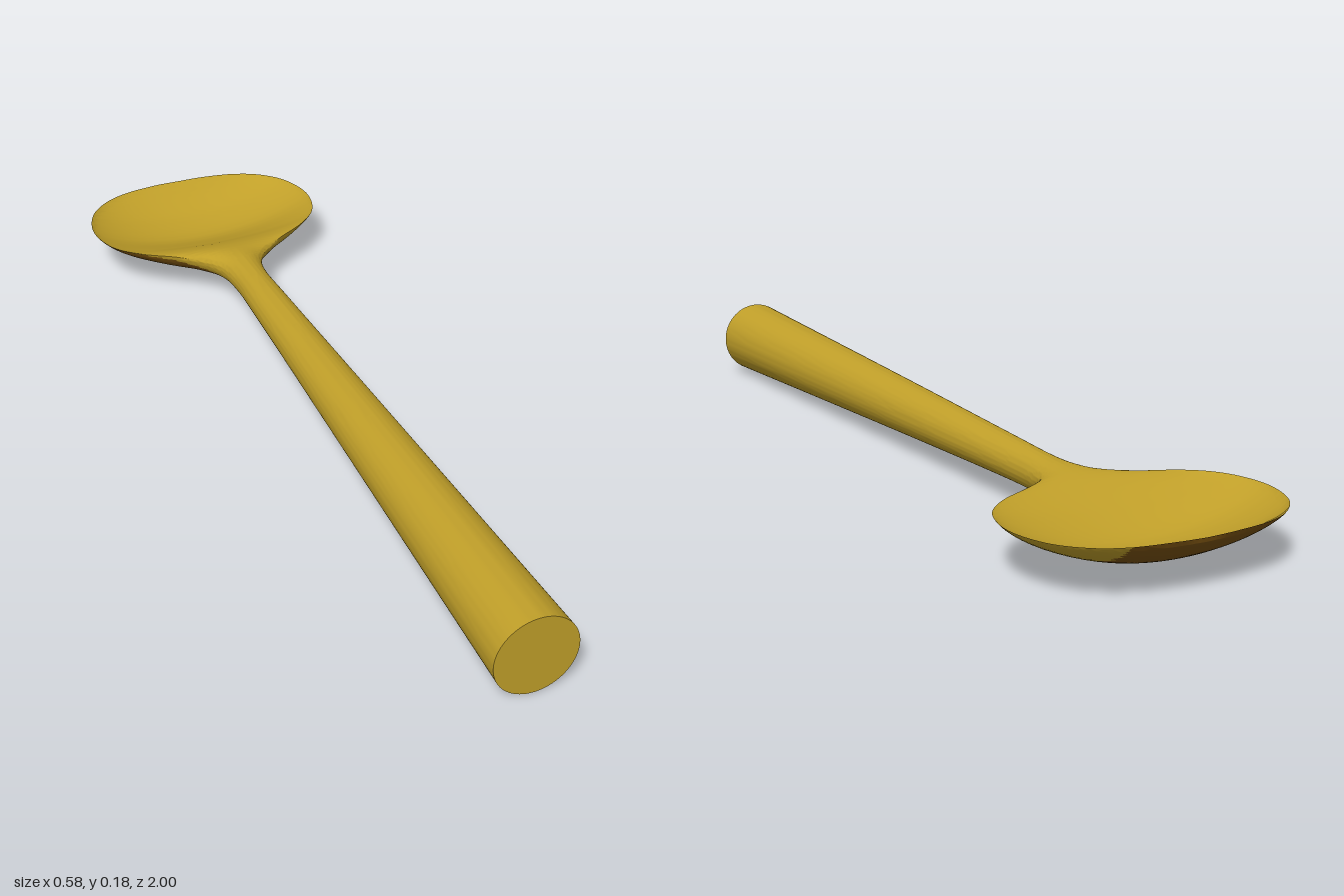
import * as THREE from 'three';
import { toCreasedNormals } from 'three/addons/utils/BufferGeometryUtils.js';

const SIDES = 72;
const STEPS = 160;
const END_RADIUS = 0.088;
const HANDLE_X = 0.007;

// Stations along the spoon: z, half width, edge height, top height, underside height
const stations = [
  [1, END_RADIUS, END_RADIUS, 2 * END_RADIUS, 0],
  [0.2, 0.062, 0.09, 0.151, 0.029],
  [-0.3, 0.046, 0.09, 0.134, 0.045],
  [-0.47, 0.043, 0.089, 0.128, 0.047],
  [-0.55, 0.064, 0.097, 0.125, 0.047],
  [-0.6, 0.128, 0.108, 0.117, 0.046],
  [-0.65, 0.212, 0.111, 0.1, 0.041],
  [-0.71, 0.268, 0.111, 0.073, 0.033],
  [-0.8, 0.29, 0.111, 0.043, 0.025],
  [-0.89, 0.268, 0.111, 0.051, 0.036],
  [-0.95, 0.217, 0.111, 0.075, 0.061],
  [-0.983, 0.15, 0.111, 0.097, 0.087],
  [-0.997, 0.067, 0.111, 0.108, 0.103],
  [-1, 0, 0.11, 0.11, 0.11],
];

// Smooth curve through three chosen columns of the stations
function columnCurve(a, b, c) {
  const points = stations.map((s) => new THREE.Vector3(s[a], s[b], s[c]));
  return new THREE.CatmullRomCurve3(points, false, 'catmullrom', 0.5);
}

// Loft from the round handle into the hollow bowl; group 0 is gold, group 1 the tarnished underside
function spoonGeometry() {
  const plan = columnCurve(0, 1, 2);
  const heights = columnCurve(2, 3, 4);
  const positions = [];
  const gold = [];
  const dark = [];
  const row = SIDES + 1;
  for (let i = 0; i <= STEPS; i++) {
    const { x: z, y: width } = plan.getPoint(i / STEPS);
    const { x: edge, y: top, z: under } = heights.getPoint(i / STEPS);
    // The bowl is centred and its section is flatter towards the rim
    const handle = THREE.MathUtils.smoothstep(z, -0.68, -0.5);
    const power = 1.55 - 0.55 * handle;
    // The tarnish covers the lower right: a strip on the handle, most of the bowl
    const tarnishStart = Math.PI * (1 + 0.25 * handle);
    const tarnishLimit = THREE.MathUtils.lerp(0.15, 0.22 * width, handle);
    for (let j = 0; j <= SIDES; j++) {
      const a = ((j % SIDES) / SIDES) * Math.PI * 2;
      const s = Math.sin(a);
      const x = width * Math.cos(a);
      const side = s >= 0 ? top : under;
      positions.push(HANDLE_X * handle + x, edge + (side - edge) * Math.abs(s) ** power, z);
      if (i < STEPS && j < SIDES) {
        const p = i * row + j;
        const faces = a > tarnishStart - 0.01 && x < tarnishLimit ? dark : gold;
        faces.push(p, p + row, p + 1, p + 1, p + row, p + row + 1);
      }
    }
  }
  const geometry = new THREE.BufferGeometry();
  geometry.setAttribute('position', new THREE.Float32BufferAttribute(positions, 3));
  geometry.setIndex([...gold, ...dark]);
  geometry.addGroup(0, gold.length, 0);
  geometry.addGroup(gold.length, dark.length, 1);
  return toCreasedNormals(geometry, 0.8);
}

function material(name, color) {
  const result = new THREE.MeshStandardMaterial({ color });
  result.name = name;
  return result;
}

export function createModel() {
  const brass = material('brass', 0xc09f29);
  const tarnish = material('tarnishedBrass', 0x7a5210);
  const group = new THREE.Group();
  group.name = 'spoon';

  // Handle and bowl in one flowing body
  const body = new THREE.Mesh(spoonGeometry(), [brass, tarnish]);
  body.name = 'handleAndBowl';
  group.add(body);

  // Flat end of the handle
  const cap = new THREE.Mesh(new THREE.CircleGeometry(END_RADIUS, SIDES), brass);
  cap.name = 'handleEnd';
  cap.position.set(HANDLE_X, END_RADIUS, 1);
  group.add(cap);

  return group;
}
